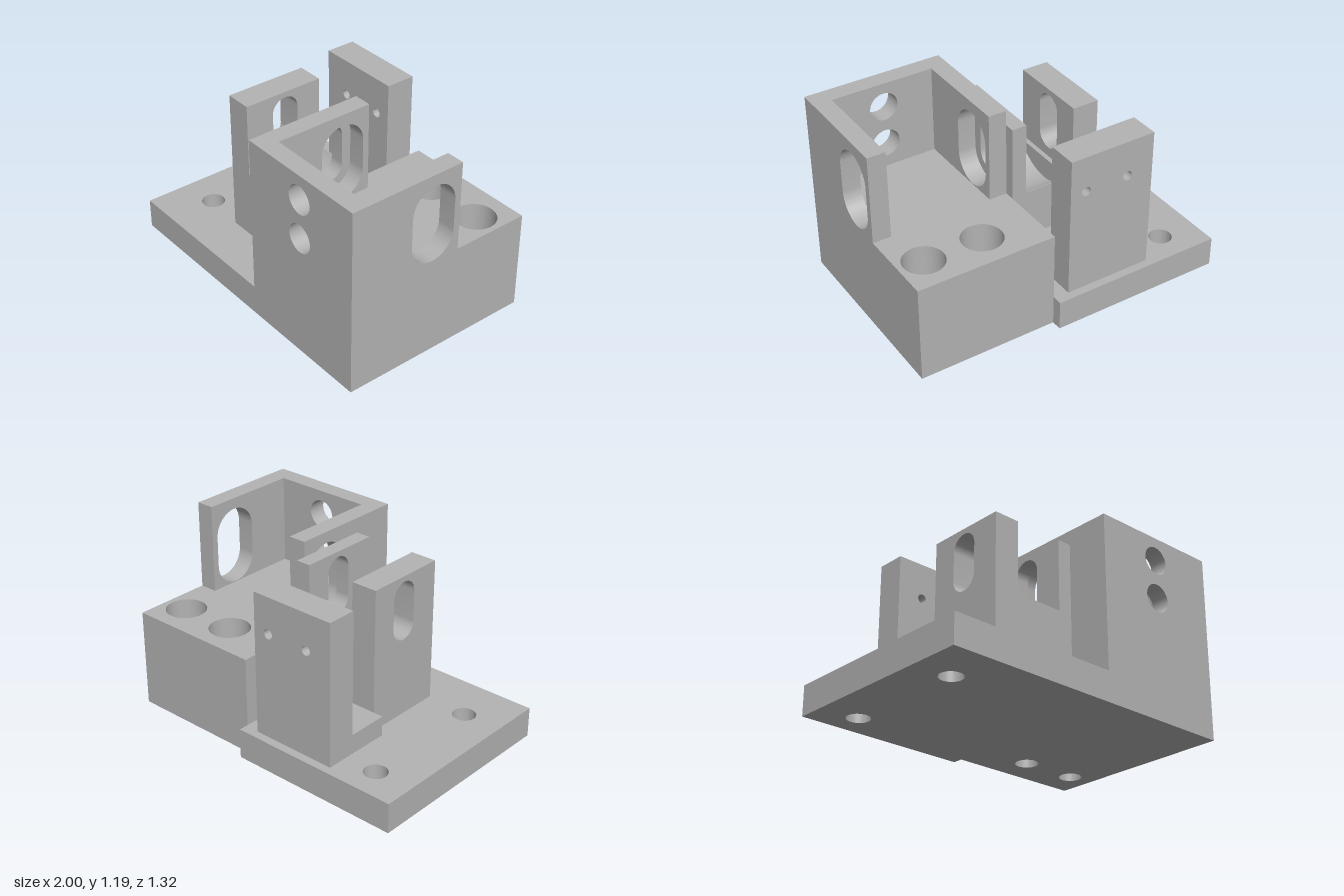
import * as THREE from 'three';
import { toCreasedNormals } from 'three/addons/utils/BufferGeometryUtils.js';

const SLOT_Z = 0.095, SLOT_LOW = 0.78, SLOT_HIGH = 0.97;

function rect(u0, u1, v0, v1) {
  const s = new THREE.Shape();
  s.moveTo(u0, v0);
  s.lineTo(u1, v0);
  s.lineTo(u1, v1);
  s.lineTo(u0, v1);
  s.closePath();
  return s;
}

function withHoles(shape, centres, r) {
  for (const [u, v] of centres) shape.holes.push(new THREE.Path().absarc(u, v, r, 0, Math.PI * 2, true));
  return shape;
}

// Upright axle slot with rounded ends
function withSlot(shape, r) {
  const p = new THREE.Path();
  p.absarc(SLOT_Z, SLOT_HIGH, r, 0, Math.PI, false);
  p.absarc(SLOT_Z, SLOT_LOW, r, Math.PI, Math.PI * 2, false);
  p.closePath();
  shape.holes.push(p);
  return shape;
}

export function createModel() {
  const model = new THREE.Group();
  model.name = 'bracket';
  const grey = new THREE.MeshStandardMaterial({ color: 0xb3b3b3 });
  grey.name = 'grey';

  const extrude = (shape, depth) =>
    new THREE.ExtrudeGeometry(shape, { depth, bevelEnabled: false, curveSegments: 28 });
  const add = (name, geometry) => {
    const mesh = new THREE.Mesh(toCreasedNormals(geometry, 0.6), grey);
    mesh.name = name;
    model.add(mesh);
  };
  // Shapes drawn in (z, y), (x, -z) and (x, y), swept along x, y and z
  const alongX = (name, shape, x0, x1) =>
    add(name, extrude(shape, x1 - x0).rotateY(-Math.PI / 2).translate(x1, 0, 0));
  const alongY = (name, shape, y0, y1) =>
    add(name, extrude(shape, y1 - y0).rotateX(-Math.PI / 2).translate(0, y0, 0));
  const alongZ = (name, shape, z0, z1) =>
    add(name, extrude(shape, z1 - z0).translate(0, 0, z0));

  // Base plate with two screw holes
  alongY('basePlate', withHoles(rect(-1, 0.12, -0.655, 0.66), [[-0.75, 0.47], [-0.75, -0.34]], 0.072), 0, 0.19);

  // Main block: narrow screw holes below, wide counterbores above
  const screws = [[0.465, 0.38], [0.84, 0.38]];
  alongY('blockBottom', withHoles(rect(0.12, 1, -0.655, 0.595), screws, 0.072), 0, 0.19);
  alongY('blockTop', withHoles(rect(0.12, 1, -0.655, 0.595), screws, 0.126), 0.19, 0.625);

  // Three-sided housing, open at the back
  for (const [name, x0, x1] of [['housingRightWall', 0.12, 0.235], ['housingLeftWall', 0.885, 1]])
    alongX(name, withSlot(rect(-0.095, 0.655, 0.625, 1.19), 0.15), x0, x1);
  alongZ('housingFrontWall',
    withHoles(rect(0.235, 0.885, 0.625, 1.19), [[0.56, 1.035], [0.56, 0.785]], 0.09), 0.54, 0.655);

  // Fork: two slotted cheeks
  for (const [name, x0, x1] of [['forkRightCheek', -0.47, -0.3], ['forkLeftCheek', 0.025, 0.12]])
    alongX(name, withSlot(rect(-0.158, 0.37, 0.19, 1.095), 0.09), x0, x1);

  // Fork floor with a round wheel trough
  alongX('forkLedge', rect(-0.158, 0.37, 0.19, 0.63), -0.3, -0.27);
  const trough = new THREE.Shape();
  const a = Math.asin(0.15 / 0.29);
  trough.moveTo(-0.158, 0.19);
  trough.lineTo(0.37, 0.19);
  trough.lineTo(0.37, 0.63);
  trough.absarc(SLOT_Z, SLOT_LOW, 0.29, -a, -Math.PI + a, true);
  trough.lineTo(-0.158, 0.63);
  trough.closePath();
  alongX('wheelTrough', trough, -0.27, 0.025);

  // Rear post with two pin holes, and the foot joining it to the fork
  alongZ('rearPost',
    withHoles(rect(-0.535, 0.027, 0.19, 1.095), [[-0.077, 0.865], [-0.36, 0.865]], 0.03), -0.608, -0.42);
  alongZ('rearFoot', rect(-0.535, 0.12, 0.19, 0.315), -0.42, -0.158);

  return model;
}
